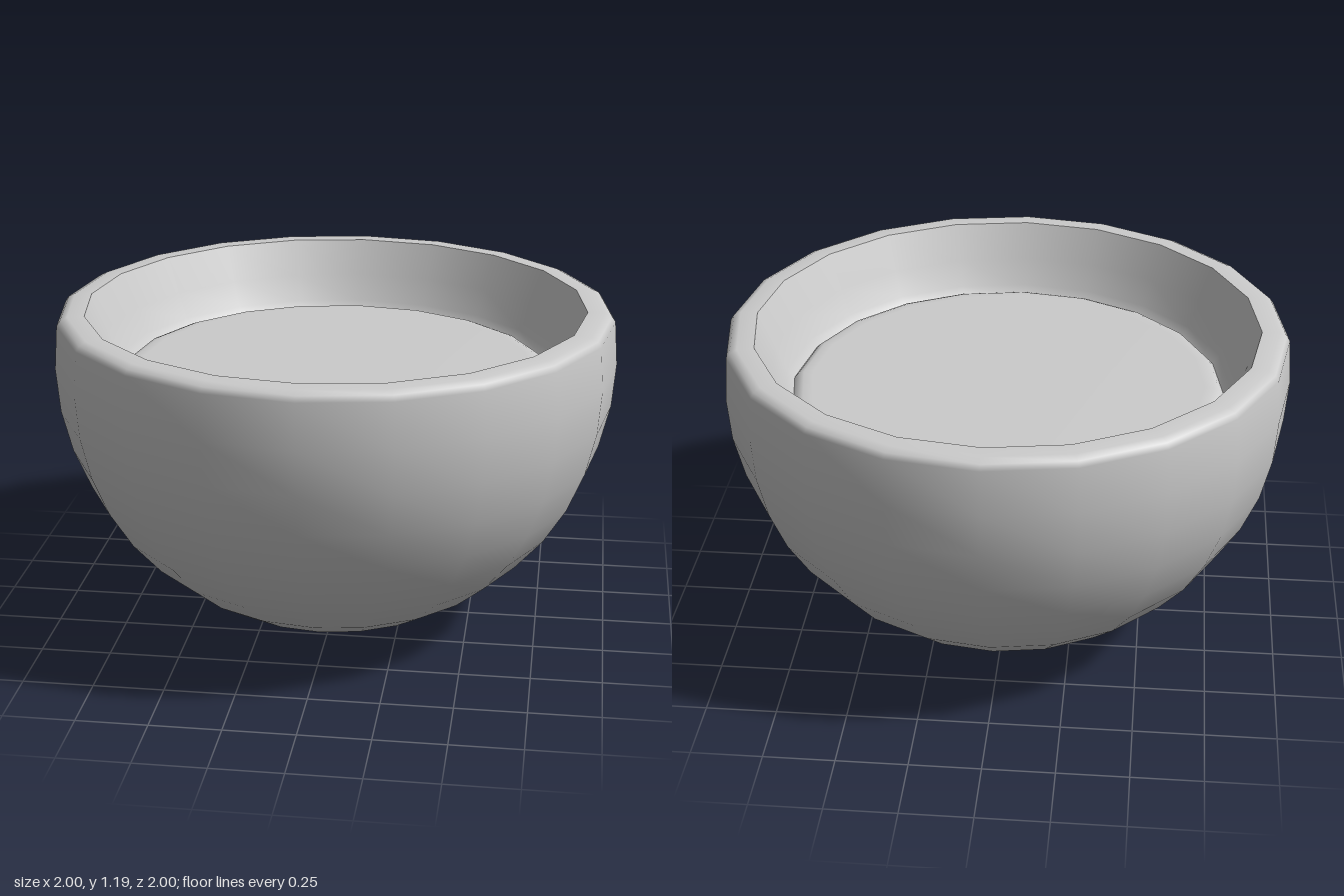
import * as THREE from 'three';

const SIDES = 20;

export function createModel() {
  const group = new THREE.Group();
  const material = new THREE.MeshStandardMaterial({ color: 0xcccccc });

  // Revolve a profile of [radius, height] points; each part keeps its own smooth normals
  const turn = (name, points) => {
    const profile = points.map(([r, y]) => new THREE.Vector2(r, y));
    const mesh = new THREE.Mesh(new THREE.LatheGeometry(profile, SIDES), material);
    mesh.name = name;
    group.add(mesh);
  };

  // Spherical outer shell, rings every 9 degrees, rising just past the equator
  const shell = [];
  for (let i = 0; i <= 11; i++) {
    const a = (i * Math.PI) / 20;
    shell.push([Math.sin(a), 1 - Math.cos(a)]);
  }
  // Bevelled lip and flat rim
  turn('bowlShell', [...shell, [0.975, 1.175], [0.95, 1.187], [0.89, 1.187]]);

  // Sloping inner wall, ending in a shallow groove
  turn('innerWall', [[0.89, 1.187], [0.835, 1.06], [0.795, 0.965], [0.77, 0.935]]);

  // Flat floor with a softly rounded raised edge
  turn('floor', [[0.77, 0.935], [0.755, 0.952], [0.735, 0.96], [0.7, 0.962], [0, 0.962]]);

  return group;
}
